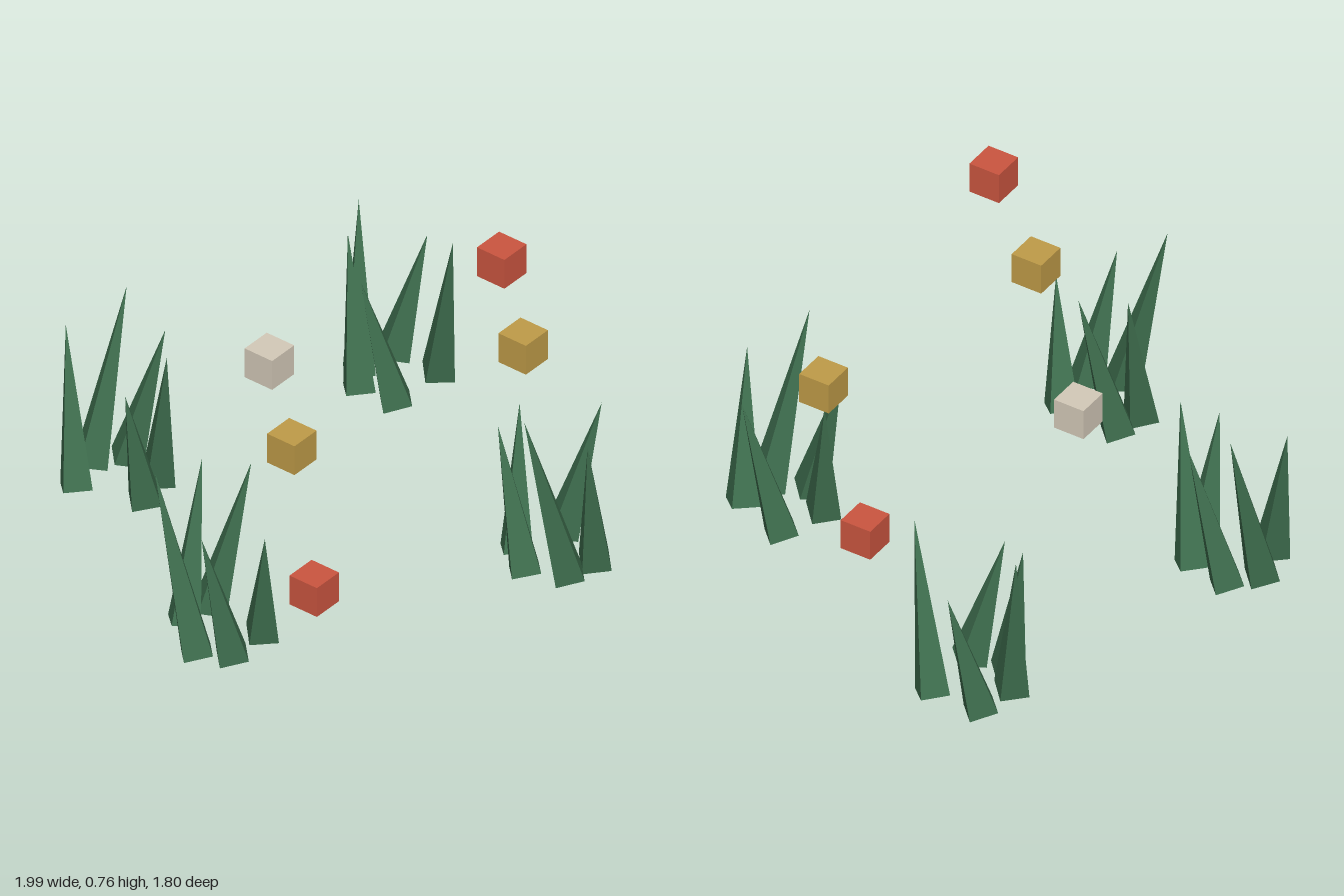
import * as THREE from 'three';

const leafMaterial = new THREE.MeshStandardMaterial({ color: 0x3f6f4f, flatShading: true });
const UP = new THREE.Vector3(0, 1, 0);

// Each blade: base x, base z, tip x, tip y, tip z
const TUFTS = {
  leftTuft: [
    [-0.847, 0.13, -0.87, 0.69, -0.03],
    [-0.785, 0.232, -0.885, 0.52, 0.18],
    [-0.727, -0.02, -0.59, 0.59, -0.055],
    [-0.614, 0.0, -0.51, 0.59, 0.09],
    [-0.62, 0.227, -0.705, 0.48, 0.305],
  ],
  frontTuft: [
    [0.29, 0.58, 0.385, 0.53, 0.515],
    [0.21, 0.68, 0.22, 0.545, 0.555],
    [0.278, 0.81, 0.13, 0.69, 0.74],
    [0.395, 0.83, 0.28, 0.57, 0.89],
    [0.465, 0.633, 0.535, 0.55, 0.745],
  ],
  rightTuft: [
    [0.765, -0.475, 0.855, 0.63, -0.55],
    [0.685, -0.41, 0.735, 0.58, -0.50],
    [0.70, -0.265, 0.63, 0.50, -0.36],
    [0.915, -0.45, 0.995, 0.49, -0.37],
    [0.925, -0.265, 0.845, 0.64, -0.14],
  ],
  backTuft: [
    [-0.347, -0.787, -0.27, 0.585, -0.895],
    [-0.21, -0.835, -0.053, 0.66, -0.81],
    [-0.11, -0.76, -0.053, 0.555, -0.645],
    [-0.135, -0.605, -0.225, 0.60, -0.50],
    [-0.262, -0.563, -0.365, 0.49, -0.565],
  ],
};

// Floating cubes: x, y, z, colour
const CUBES = [
  [-0.94, 0.585, 0.705, 0xcc5640],
  [0.93, 0.585, 0.0, 0xcc5640],
  [-0.475, 0.70, 0.235, 0xc09c48],
  [0.46, 0.70, 0.47, 0xc09c48],
  [-0.01, 0.585, -0.235, 0xd4cab9],
];

// Four-sided spike leaning from its base to its tip
function makeBlade([bx, bz, tx, ty, tz]) {
  const base = new THREE.Vector3(bx, 0.018, bz);
  const tip = new THREE.Vector3(tx, ty, tz);
  const axis = tip.clone().sub(base);
  const blade = new THREE.Mesh(new THREE.ConeGeometry(0.07, axis.length(), 4), leafMaterial);
  blade.position.copy(base).add(tip).multiplyScalar(0.5);
  blade.quaternion.setFromUnitVectors(UP, axis.normalize());
  blade.name = 'blade';
  return blade;
}

export function createModel() {
  const model = new THREE.Group();
  model.name = 'grassTuftsWithCubes';

  for (const [name, blades] of Object.entries(TUFTS)) {
    const tuft = new THREE.Group();
    tuft.name = name;
    blades.forEach((b) => tuft.add(makeBlade(b)));
    model.add(tuft);
  }

  const cubeGeometry = new THREE.BoxGeometry(0.117, 0.117, 0.117);
  for (const [x, y, z, color] of CUBES) {
    const cube = new THREE.Mesh(cubeGeometry, new THREE.MeshStandardMaterial({ color, flatShading: true }));
    cube.position.set(x, y, z);
    cube.name = 'floatingCube';
    model.add(cube);
  }
  return model;
}
